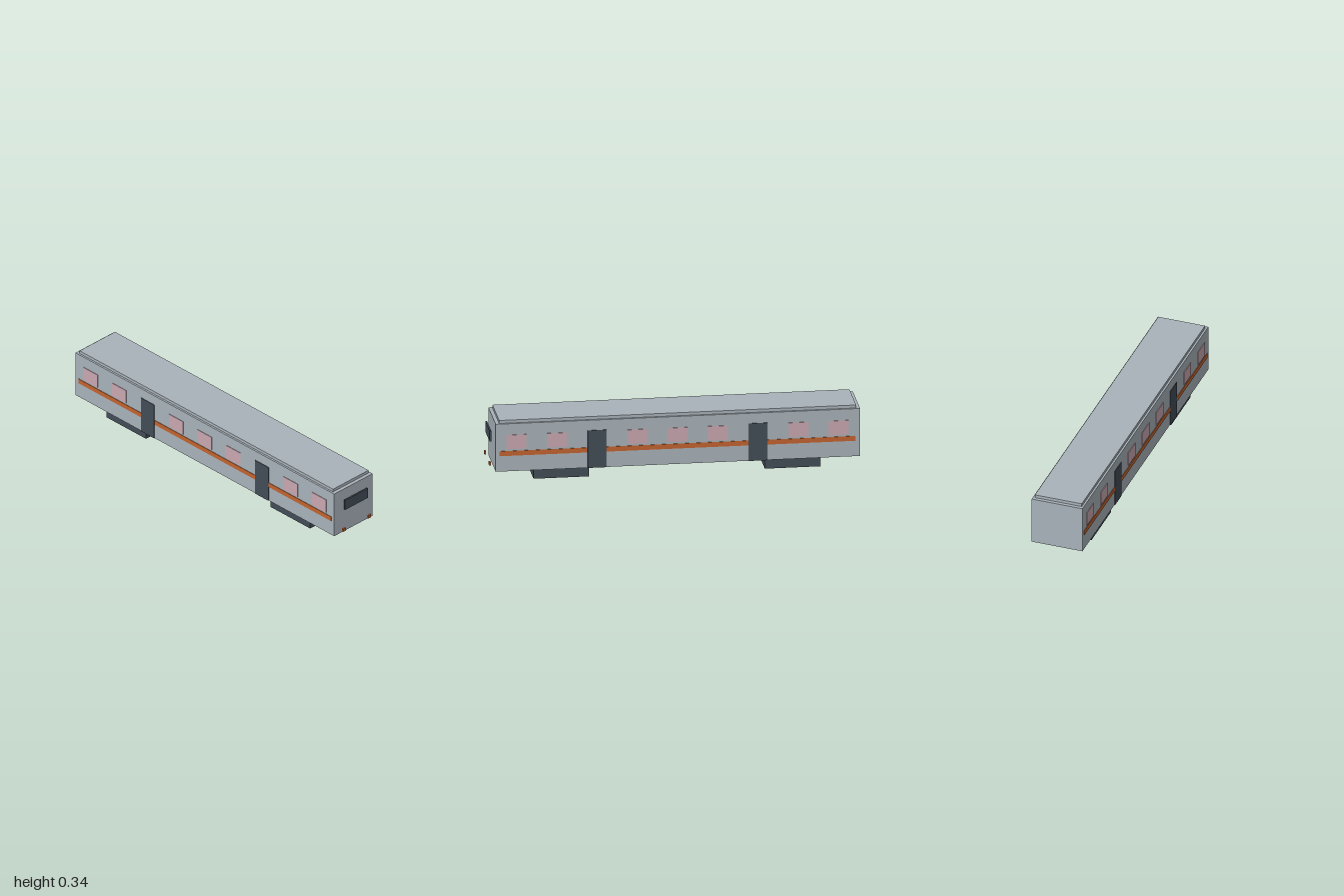
import * as THREE from 'three';

const material = (name, color) => {
  const m = new THREE.MeshStandardMaterial({ color });
  m.name = name;
  return m;
};

export function createModel() {
  const silver = material('silver', 0xa9b3ba);
  const charcoal = material('charcoal', 0x434d57);
  const orange = material('orange', 0xc4642f);
  const pink = material('pink', 0xcaa8b1);

  const model = new THREE.Group();
  model.name = 'railCar';
  const mid = -0.013; // lengthwise middle of the car
  const pitch = 0.2175; // spacing of windows and doors

  const box = (name, mat, w, h, d, x, y, z) => {
    const mesh = new THREE.Mesh(new THREE.BoxGeometry(w, h, d), mat);
    mesh.name = name;
    mesh.position.set(x, y, z);
    model.add(mesh);
  };

  // Car body and raised roof panel
  box('body', silver, 0.289, 0.268, 1.97, 0, 0.191, -0.015);
  box('roof', silver, 0.267, 0.018, 1.93, 0, 0.333, -0.015);

  // Bogies under both ends
  for (const s of [1, -1]) box('bogie', charcoal, 0.24, 0.057, 0.3, 0, 0.0285, mid + s * 0.625);

  // Both sides: stripe, then a row of windows with doors at the second places from the middle
  for (const s of [1, -1]) {
    box('stripe', orange, 0.004, 0.027, 1.925, s * 0.1452, 0.158, mid);
    for (let i = -4; i <= 4; i++) {
      const z = mid + i * pitch;
      if (Math.abs(i) === 2) box('door', charcoal, 0.006, 0.211, 0.102, s * 0.1452, 0.1625, z);
      else box('window', pink, 0.005, 0.08, 0.108, s * 0.1452, 0.222, z);
    }
  }

  // Windscreen and headlights, standing just ahead of the front wall
  box('windscreen', charcoal, 0.174, 0.06, 0.009, 0, 0.239, 0.99);
  for (const s of [1, -1]) box('headlight', orange, 0.02, 0.018, 0.009, s * 0.095, 0.089, 0.9955);

  return model;
}
